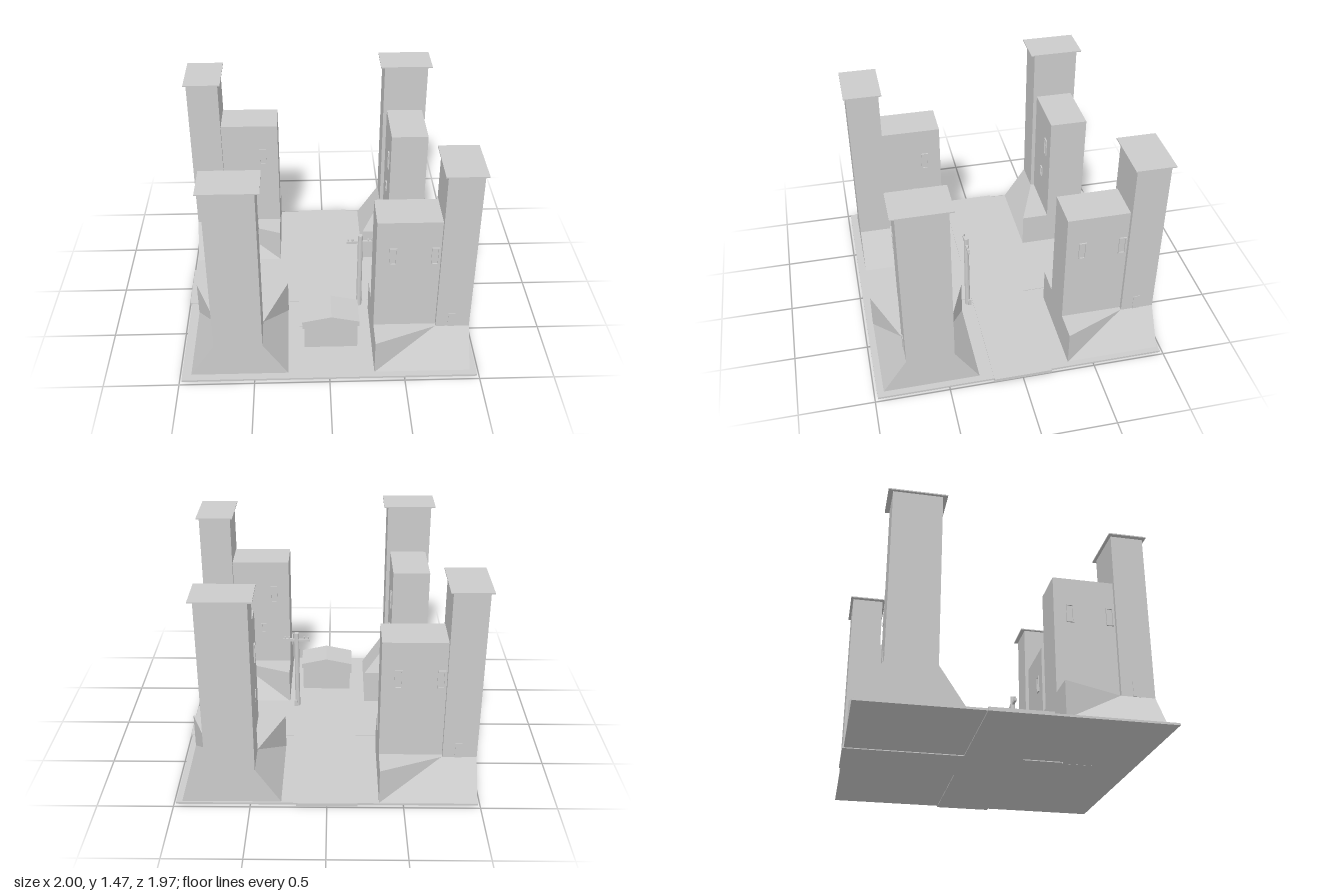
import * as THREE from 'three';

const material = new THREE.MeshStandardMaterial({ color: 0xcccccc, flatShading: true });

function add(parent, name, geometry, x = 0, y = 0, z = 0) {
  const mesh = new THREE.Mesh(geometry, material);
  mesh.name = name;
  mesh.position.set(x, y, z);
  parent.add(mesh);
  return mesh;
}

// Box given by its limits on each axis
function block(parent, name, [x0, x1], [y0, y1], [z0, z1]) {
  return add(parent, name, new THREE.BoxGeometry(x1 - x0, y1 - y0, z1 - z0),
    (x0 + x1) / 2, (y0 + y1) / 2, (z0 + z1) / 2);
}

// Flat polygons turned to face away from an inner point
function solid(polygons, inner) {
  const out = [];
  for (const poly of polygons) {
    const pts = poly.map((p) => new THREE.Vector3(...p));
    for (let i = 1; i < pts.length - 1; i++) {
      const t = [pts[0], pts[i], pts[i + 1]];
      const n = new THREE.Triangle(...t).getNormal(new THREE.Vector3());
      if (n.dot(t[0].clone().sub(inner)) < 0) t.reverse();
      t.forEach((v) => out.push(v.x, v.y, v.z));
    }
  }
  const g = new THREE.BufferGeometry();
  g.setAttribute('position', new THREE.Float32BufferAttribute(out, 3));
  g.computeVertexNormals();
  return g;
}

// Plinth: full width at the inner end, flaring out from the shaft at the outer end
function plinthGeometry() {
  const w = 0.325, s = 0.16, d = -0.64, b = -0.23, h = 0.27, y = 0.018;
  const faces = [
    [[-s, h, 0], [s, h, 0], [s, h, b], [-s, h, b]],
    [[-s, h, b], [s, h, b], [w, h, d], [-w, h, d]],
    [[-w, y, 0], [w, y, 0], [s, h, 0], [-s, h, 0]],
    [[-w, y, d], [w, y, d], [w, h, d], [-w, h, d]],
    [[-w, y, 0], [w, y, 0], [w, y, d], [-w, y, d]],
  ];
  for (const m of [1, -1]) {
    faces.push([[m * w, y, 0], [m * s, h, 0], [m * s, h, b], [m * w, y, d]]);
    faces.push([[m * s, h, b], [m * w, h, d], [m * w, y, d]]);
  }
  return solid(faces, new THREE.Vector3(0, 0.12, -0.3));
}

// Raised window frame for the side walls
function frameGeometry(w, h, t) {
  const rect = (path, a, b) => path.moveTo(-a, -b).lineTo(a, -b).lineTo(a, b).lineTo(-a, b).closePath();
  const shape = rect(new THREE.Shape(), w / 2, h / 2);
  shape.holes.push(rect(new THREE.Path(), w / 2 - t, h / 2 - t));
  return new THREE.ExtrudeGeometry(shape, { depth: 0.01, bevelEnabled: false });
}

// Tower facing local +z, with its outer face on z = 0
function tower(x, z, turn) {
  const g = new THREE.Group();
  g.name = 'tower';
  g.position.set(x, 0, z);
  g.rotation.y = turn;
  add(g, 'plinth', plinthGeometry());
  block(g, 'shaft', [-0.16, 0.16], [0.26, 1.46], [-0.225, 0]);
  block(g, 'shaftRoof', [-0.19, 0.19], [1.457, 1.465], [-0.245, 0.018]);
  block(g, 'mainBlock', [-0.133, 0.133], [0.26, 1.1], [-0.64, -0.2]);
  block(g, 'shaftHatch', [-0.164, -0.15], [0.27, 0.38], [-0.145, -0.1]);
  // side, along, height, width, tall
  const windows = [
    [1, -0.525, 0.84, 0.05, 0.13], [1, -0.44, 0.56, 0.04, 0.075],
    [-1, -0.53, 0.84, 0.05, 0.13], [-1, -0.26, 0.84, 0.05, 0.13],
  ];
  for (const [side, along, height, w, h] of windows) {
    const frame = add(g, 'windowFrame', frameGeometry(w, h, 0.008), side * 0.132, height, along);
    frame.rotation.y = side * Math.PI / 2;
  }
  return g;
}

function house() {
  const g = new THREE.Group();
  g.name = 'house';
  block(g, 'houseWalls', [-0.165, 0.2], [0.005, 0.215], [0.47, 0.683]);
  const gable = new THREE.Shape([[-0.178, 0.212], [0.21, 0.212], [0.21, 0.25], [0.02, 0.292], [-0.178, 0.25]]
    .map((p) => new THREE.Vector2(...p)));
  add(g, 'houseRoof', new THREE.ExtrudeGeometry(gable, { depth: 0.23, bevelEnabled: false }), 0, 0, 0.46);
  block(g, 'houseWindow', [-0.178, -0.16], [0.12, 0.19], [0.55, 0.61]);
  return g;
}

function utilityPole() {
  const g = new THREE.Group();
  g.name = 'utilityPole';
  g.position.set(0.237, 0, 0.233);
  add(g, 'pole', new THREE.CylinderGeometry(0.017, 0.019, 0.62, 12), 0, 0.33, 0);
  block(g, 'poleBox', [0, 0.025], [0.02, 0.07], [-0.025, 0]);
  block(g, 'crossbar', [-0.097, 0.097], [0.574, 0.592], [-0.008, 0.008]);
  for (const x of [-0.085, -0.055, 0.055, 0.085]) {
    add(g, 'insulator', new THREE.CylinderGeometry(0.006, 0.006, 0.016, 8), x, 0.6, 0);
  }
  return g;
}

export function createModel() {
  const model = new THREE.Group();
  model.name = 'cityBlock';

  // Ground and crossing roads
  block(model, 'ground', [-0.985, 0.985], [0.006, 0.02], [-0.98, 0.98]);
  block(model, 'crossRoad', [-1, 1], [0, 0.024], [-0.2, 0.195]);
  block(model, 'backRoad', [-0.2, 0.2], [0, 0.024], [-0.99, -0.2]);
  block(model, 'frontRoad', [-0.2, 0.2], [0, 0.024], [0.195, 0.47]);

  // Four towers, each turned a quarter from the next
  model.add(
    tower(-0.6, 0.928, 0),
    tower(0.94, 0.612, Math.PI / 2),
    tower(0.622, -0.967, Math.PI),
    tower(-0.98, -0.65, -Math.PI / 2),
  );
  model.add(house(), utilityPole());
  return model;
}
